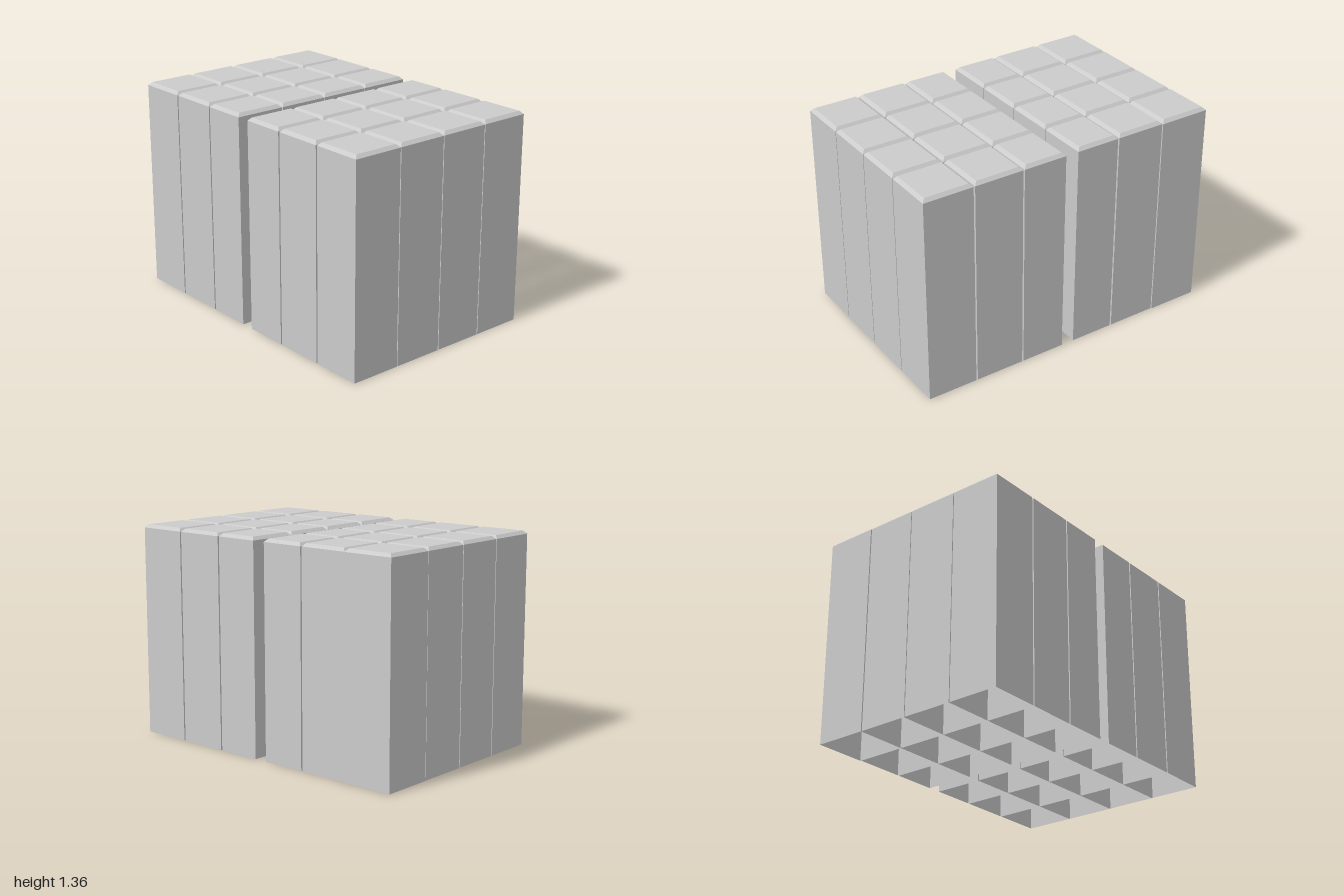
import * as THREE from 'three';

const HEIGHT = 1.357, CHAMFER = 0.02;
const material = new THREE.MeshStandardMaterial({ color: 0xcccccc, flatShading: true, side: THREE.DoubleSide });

// Hollow square column: chamfered top, open underneath
function makeColumn(x0, x1, z0, z1) {
  const w = x1 - x0, d = z1 - z0;
  const box = new THREE.BoxGeometry(w, 1, d, 1, 2, 1);
  const index = Array.from(box.index.array);
  index.splice(30, 6); // drop the bottom face
  box.setIndex(index);
  box.clearGroups();
  const p = box.attributes.position;
  for (let i = 0; i < p.count; i++) {
    const level = Math.round(p.getY(i) * 2); // -1 foot, 0 shoulder, 1 top
    const inset = level === 1 ? CHAMFER : 0;
    p.setXYZ(i,
      p.getX(i) - Math.sign(p.getX(i)) * inset,
      level < 0 ? 0 : HEIGHT - (level === 0 ? CHAMFER : 0),
      p.getZ(i) - Math.sign(p.getZ(i)) * inset);
  }
  const geometry = box.toNonIndexed();
  geometry.computeVertexNormals();
  const mesh = new THREE.Mesh(geometry, material);
  mesh.position.set((x0 + x1) / 2, 0, (z0 + z1) / 2);
  return mesh;
}

export function createModel() {
  const model = new THREE.Group();
  model.name = 'columnBlocks';
  // Column spans measured outward from the central aisle
  const spans = [[0.043, 0.331], [0.341, 0.663], [0.673, 0.998]];
  const pitch = 0.3335, depth = 0.328;

  for (const side of [-1, 1]) {
    const half = new THREE.Group();
    half.name = side < 0 ? 'rightBlock' : 'leftBlock';
    spans.forEach(([a, b], col) => {
      for (let row = 0; row < 4; row++) {
        const z1 = 0.667 - row * pitch;
        const corner = side < 0 && col === 2 && row === 3;
        // The back right corner column is slightly larger than the rest
        const column = corner
          ? makeColumn(-1, -0.666, -0.667, -0.334)
          : makeColumn(side < 0 ? -b : a, side < 0 ? -a : b, z1 - depth, z1);
        column.name = corner ? 'cornerColumn' : 'column';
        half.add(column);
      }
    });
    model.add(half);
  }
  return model;
}
